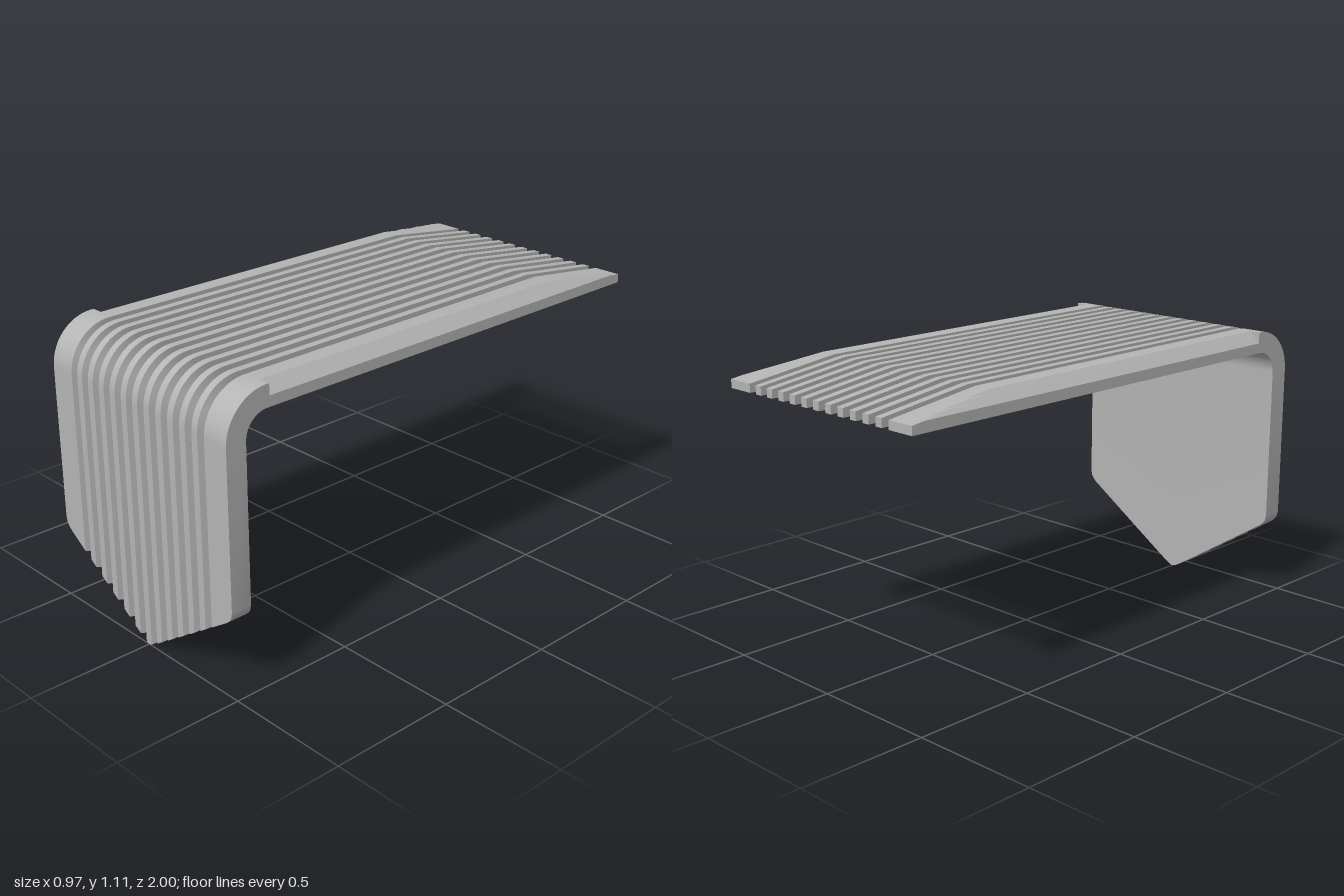
import * as THREE from 'three';
import { toCreasedNormals } from 'three/addons/utils/BufferGeometryUtils.js';

const THICK = 0.083, TOP = 1.113, R = 0.175, HALF = 0.485;
const PITCH = 0.0647, GROOVE_HALF = 0.0175, GROOVE_DEPTH = 0.039;
const CHAMFER_X = 0.44, CHAMFER_SLOPE = 0.956;
const TAPER_Z = -0.62, TAPER_SLOPE = 0.1316, SLOT_Z = -0.74;

// Height of the pointed lower edge at x
function lowerEdge(x) {
  x = Math.abs(x);
  const corner = [[0.455, 0.288], [0.47, 0.301], [0.48, 0.315], [0.485, 0.337]];
  if (x <= 0.455) return Math.hypot(0.655 * x, 0.01) - 0.01;
  for (let i = 1; i < corner.length; i++) {
    const [x0, y0] = corner[i - 1], [x1, y1] = corner[i];
    if (x <= x1 + 1e-6) return y0 + (y1 - y0) * (x - x0) / (x1 - x0);
  }
  return 0.337;
}

// Columns across the width; floor marks the two bottom corners of a groove
function makeColumns() {
  const cols = [];
  const edge = [0.485, 0.48, 0.47, 0.455, 0.44];
  edge.forEach(x => cols.push({ x: -x }));
  for (let i = 0; i < 12; i++) {
    const c = (i - 5.5) * PITCH;
    cols.push({ x: c - GROOVE_HALF }, { x: c, floor: -1 }, { x: c, floor: 1 }, { x: c + GROOVE_HALF });
    if (i === 5) cols.push({ x: -0.007 }, { x: 0 }, { x: 0.007 });
  }
  edge.reverse().forEach(x => cols.push({ x }));
  return cols;
}

// Stations from the lower edge, up the front, round the bend and to the back
function makeStations() {
  const list = [{ z: 1, y: 0, nz: 1, ny: 0, open: 0, cut: true }];
  const steps = 14;
  for (let i = 0; i <= steps; i++) {
    const t = i / steps, a = t * Math.PI / 2;
    const nz = Math.cos(a), ny = Math.sin(a);
    list.push({
      z: 0.825 + R * nz, y: TOP - R + R * ny, nz, ny,
      open: THREE.MathUtils.clamp((t - 0.3) / 0.7, 0, 1)
    });
  }
  const flat = (z, extra = {}) => list.push({ z, y: TOP, nz: 0, ny: 1, open: 1, ...extra });
  flat(0.815);
  flat(0.815, { chamfer: true });
  flat(TAPER_Z, { chamfer: true });
  flat(-0.729, { chamfer: true });
  flat(SLOT_Z, { chamfer: true });
  flat(SLOT_Z, { chamfer: true, slot: true });
  [-0.838, -0.91, -0.947, -1].forEach(z => flat(z, { chamfer: true, slot: true }));
  return list;
}

function makePlate() {
  const cols = makeColumns(), stations = makeStations(), pos = [];

  const grid = stations.map(s => cols.map(c => {
    const half = THREE.MathUtils.lerp(0.004, GROOVE_HALF, s.open);
    const x = c.x + (c.floor || 0) * half;
    let drop = 0;
    if (s.chamfer) {
      drop = Math.max(0, (Math.abs(x) - CHAMFER_X) * CHAMFER_SLOPE, (TAPER_Z - s.z) * TAPER_SLOPE);
    }
    if (c.floor) drop = s.slot ? THICK : Math.max(drop, GROOVE_DEPTH);
    const y = s.cut ? lowerEdge(x) : s.y;
    const at = d => new THREE.Vector3(x, y - s.ny * d, s.z - s.nz * d);
    return { out: at(drop), inn: at(THICK), empty: drop >= THICK };
  }));

  const ab = new THREE.Vector3(), ac = new THREE.Vector3();
  const tri = (a, b, c) => {
    if (ab.subVectors(b, a).cross(ac.subVectors(c, a)).length() < 1e-9) return;
    pos.push(...a.toArray(), ...b.toArray(), ...c.toArray());
  };
  const quad = (a, b, c, d) => { tri(a, b, c); tri(a, c, d); };

  const last = stations.length - 1, end = cols.length - 1;
  for (let s = 0; s < last; s++) {
    for (let c = 0; c < end; c++) {
      const p = grid[s][c], q = grid[s][c + 1], r = grid[s + 1][c + 1], t = grid[s + 1][c];
      if (p.empty && q.empty && r.empty && t.empty) continue;
      quad(p.out, q.out, r.out, t.out);
      quad(p.inn, t.inn, r.inn, q.inn);
    }
    // Side walls
    const a = grid[s][0], b = grid[s + 1][0], e = grid[s][end], f = grid[s + 1][end];
    quad(a.out, b.out, b.inn, a.inn);
    quad(e.out, e.inn, f.inn, f.out);
  }
  // Lower edge and back edge
  for (let c = 0; c < end; c++) {
    const p = grid[0][c], q = grid[0][c + 1], r = grid[last][c], t = grid[last][c + 1];
    quad(p.out, p.inn, q.inn, q.out);
    quad(r.out, t.out, t.inn, r.inn);
  }

  const geo = new THREE.BufferGeometry();
  geo.setAttribute('position', new THREE.Float32BufferAttribute(pos, 3));
  return toCreasedNormals(geo, 0.4);
}

export function createModel() {
  const group = new THREE.Group();
  group.name = 'groovedBracket';
  const grey = new THREE.MeshStandardMaterial({ color: 0xb4b4b4 });
  grey.name = 'plainGrey';
  const plate = new THREE.Mesh(makePlate(), grey);
  plate.name = 'bentGroovedPlate';
  group.add(plate);
  return group;
}
